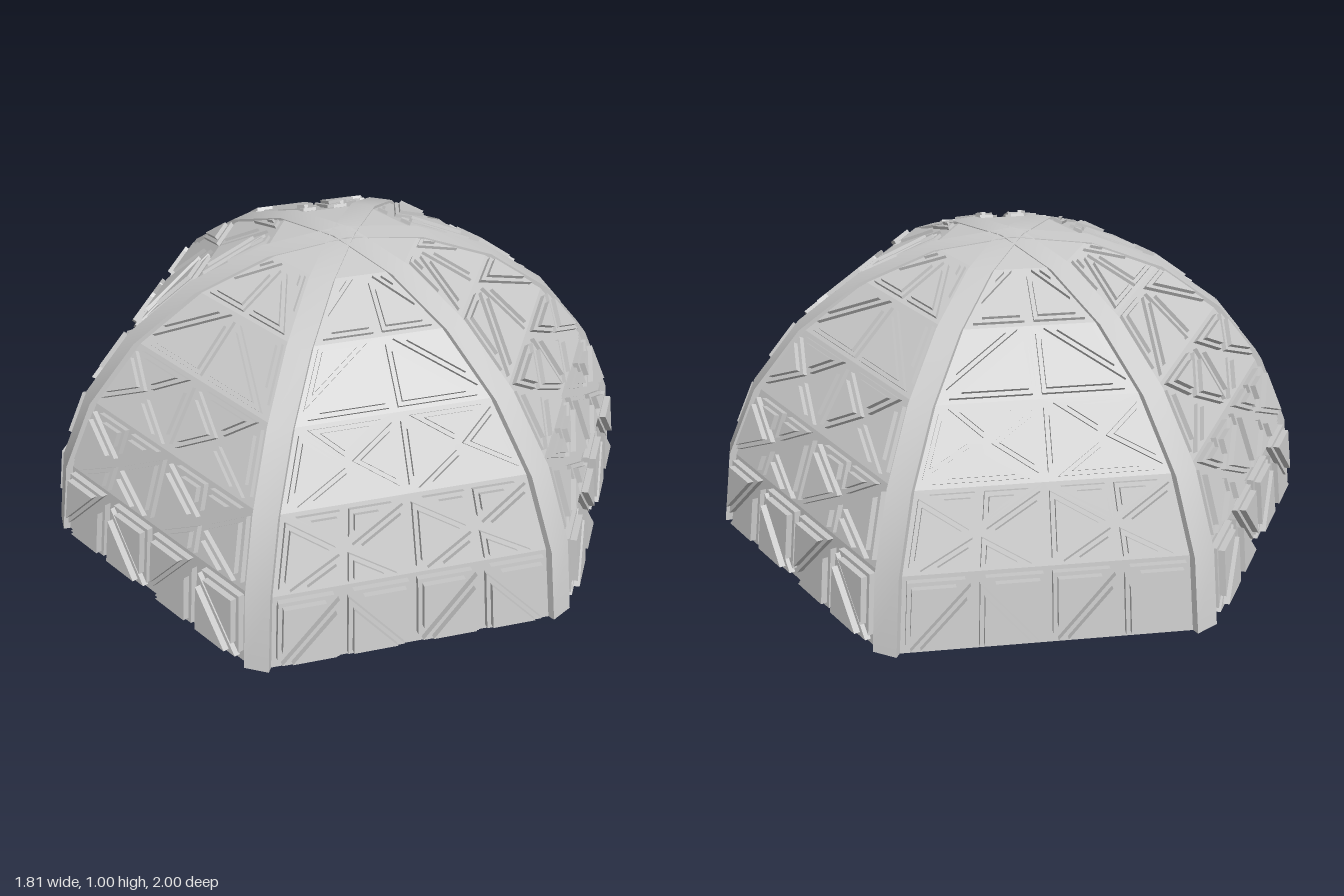
import * as THREE from 'three';
import { toCreasedNormals } from 'three/addons/utils/BufferGeometryUtils.js';

const STEP = Math.PI / 12;          // every tier spans 15 degrees
const APOTHEM = Math.cos(Math.PI / 6);
const RIB_HALF = 0.04;

// Ways to split one cell (u, v in 0..1) into triangles
const SPLITS = {
  rise: [[0, 0, 1, 0, 1, 1], [0, 0, 1, 1, 0, 1]],
  fall: [[0, 0, 1, 0, 0, 1], [1, 0, 1, 1, 0, 1]],
  cross: [[0, 0, 1, 0, .5, .5], [1, 0, 1, 1, .5, .5], [1, 1, 0, 1, .5, .5], [0, 1, 0, 0, .5, .5]],
  star: [[0, 0, .5, 0, .5, .5], [.5, 0, 1, 0, .5, .5], [1, 0, 1, 1, .5, .5],
    [1, 1, .5, 1, .5, .5], [.5, 1, 0, 1, .5, .5], [0, 1, 0, 0, .5, .5]],
};
const TIERS = [
  ['rise', 'fall', 'rise', 'fall'],
  ['star', 'star'],
  ['cross', 'cross'],
  ['rise', 'fall'],
  ['rise', 'fall'],
];

// Point on the +x side of the hexagonal dome
function sidePoint(u, angle) {
  const c = Math.cos(angle);
  const half = Math.max(0, c * 0.5 - RIB_HALF / APOTHEM);
  return new THREE.Vector3(APOTHEM * c, Math.sin(angle), (1 - 2 * u) * half);
}

// Point inside a tier: straight between its lower and upper edge
function tierPoint(tier, u, v) {
  return sidePoint(u, tier * STEP).lerp(sidePoint(u, (tier + 1) * STEP), v);
}

// Triangle shrunk towards its incentre by distance d and raised by h
function insetTriangle([a, b, c], d, h) {
  const la = b.distanceTo(c), lb = c.distanceTo(a), lc = a.distanceTo(b);
  const sum = la + lb + lc;
  const centre = new THREE.Vector3().addScaledVector(a, la / sum)
    .addScaledVector(b, lb / sum).addScaledVector(c, lc / sum);
  const normal = b.clone().sub(a).cross(c.clone().sub(a));
  const radius = normal.length() / sum;
  normal.normalize();
  const k = Math.min(0.85, d / radius);
  return [a, b, c].map(p => p.clone().lerp(centre, k).addScaledVector(normal, h));
}

// Two-step raised triangular plate, with the frame around it
function addPlate(out, tri, h) {
  const loops = [
    tri,
    insetTriangle(tri, 0.014, 0),
    insetTriangle(tri, 0.014, h / 2),
    insetTriangle(tri, 0.027, h / 2),
    insetTriangle(tri, 0.027, h),
  ];
  for (let i = 0; i < loops.length - 1; i++) {
    for (let j = 0; j < 3; j++) {
      const k = (j + 1) % 3, lo = loops[i], hi = loops[i + 1];
      out.push(lo[j], lo[k], hi[k], lo[j], hi[k], hi[j]);
    }
  }
  out.push(...loops[4]);
}

function tierGeometry(tier) {
  const points = [];
  const cells = TIERS[tier];
  cells.forEach((kind, i) => {
    for (const t of SPLITS[kind]) {
      const tri = [0, 2, 4].map(n => tierPoint(tier, (i + t[n]) / cells.length, t[n + 1]));
      addPlate(points, tri, 0.042 - tier * 0.005);
    }
  });
  return fromPoints(points);
}

function fromPoints(points) {
  const geo = new THREE.BufferGeometry().setFromPoints(points);
  geo.computeVertexNormals();
  return geo;
}

// Arch running from base to base over the apex
function archGeometry() {
  const outline = [];
  for (let i = 0; i <= 12; i++) outline.push(new THREE.Vector2(Math.cos(i * STEP), Math.sin(i * STEP)));
  for (let i = 12; i >= 0; i--) {
    outline.push(new THREE.Vector2(0.95 * Math.cos(i * STEP), 0.95 * Math.sin(i * STEP)));
  }
  const geo = new THREE.ExtrudeGeometry(new THREE.Shape(outline), { depth: 2 * RIB_HALF, bevelEnabled: false });
  geo.translate(0, 0, -RIB_HALF);
  return toCreasedNormals(geo, 0.6);
}

export function createModel() {
  const model = new THREE.Group();
  model.name = 'hexagonalDome';
  const panelMat = new THREE.MeshStandardMaterial({ color: 0xcccccc, flatShading: true, side: THREE.DoubleSide });
  const ribMat = new THREE.MeshStandardMaterial({ color: 0xcccccc });

  // Six panelled sides
  const tiers = TIERS.map((_, t) => tierGeometry(t));
  const cap = fromPoints([sidePoint(0, 5 * STEP), sidePoint(1, 5 * STEP), sidePoint(0.5, 6 * STEP)]);
  for (let k = 0; k < 6; k++) {
    const side = new THREE.Group();
    side.name = 'side' + (k + 1);
    side.rotation.y = k * Math.PI / 3;
    tiers.forEach((geo, t) => {
      const mesh = new THREE.Mesh(geo, panelMat);
      mesh.name = 'panelTier' + (t + 1);
      side.add(mesh);
    });
    const top = new THREE.Mesh(cap, panelMat);
    top.name = 'capPanel';
    side.add(top);
    model.add(side);
  }

  // Three arches form the six corner ribs
  const arch = archGeometry();
  for (let k = 0; k < 3; k++) {
    const rib = new THREE.Mesh(arch, ribMat);
    rib.name = 'ribArch' + (k + 1);
    rib.rotation.y = Math.PI / 6 + k * Math.PI / 3;
    model.add(rib);
  }
  return model;
}
